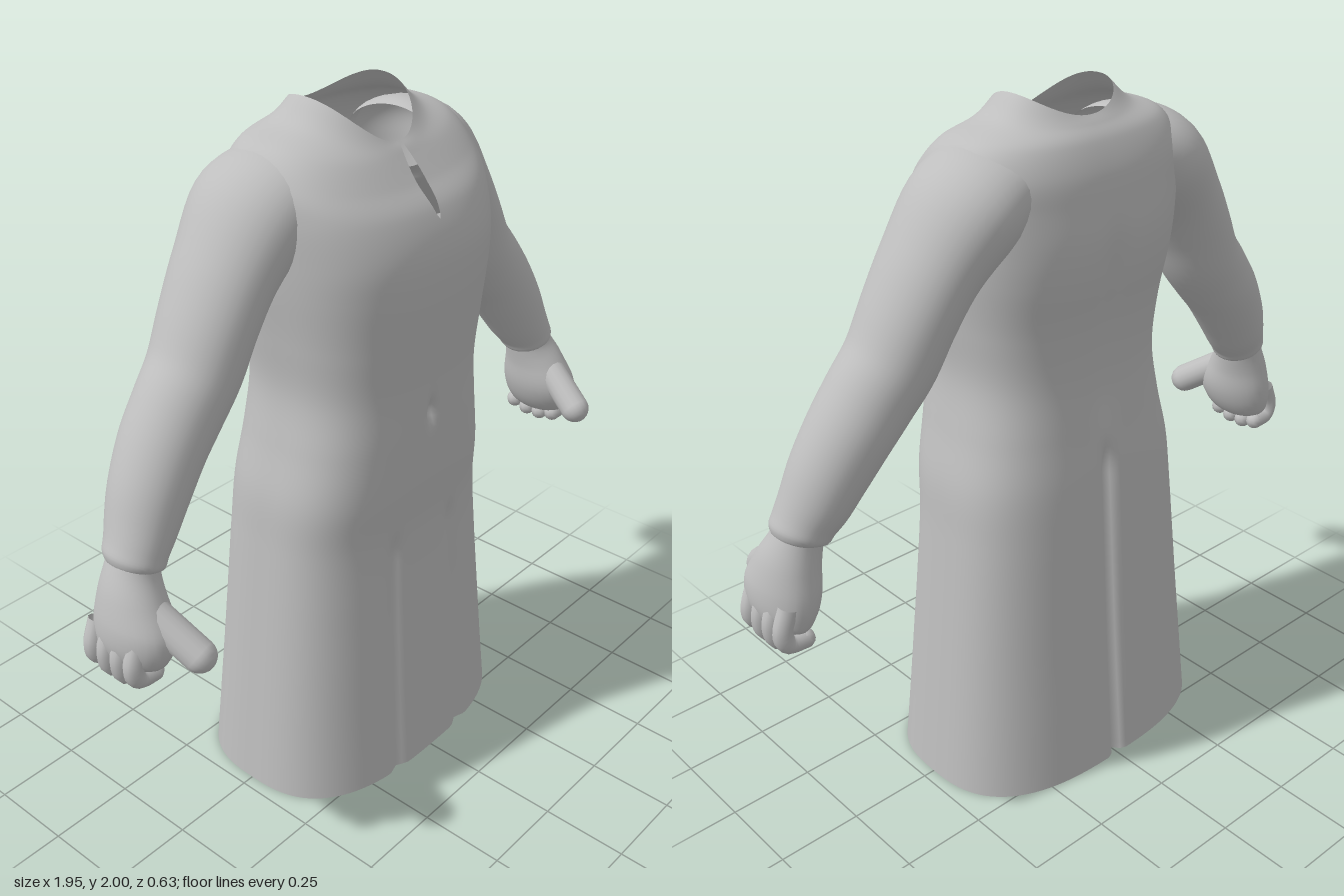
import * as THREE from 'three';
import { mergeVertices } from 'three/addons/utils/BufferGeometryUtils.js';

const bump = (d, s) => Math.exp(-(d * d) / (s * s));
const step = THREE.MathUtils.smoothstep;

// Smooth surface from a grid of points
function surface(rows, cols, point) {
  const pos = [], index = [];
  for (let i = 0; i <= rows; i++)
    for (let j = 0; j <= cols; j++) pos.push(...point(i / rows, j / cols));
  const n = cols + 1;
  for (let i = 0; i < rows; i++)
    for (let j = 0; j < cols; j++) {
      const a = i * n + j;
      index.push(a, a + 1, a + n, a + 1, a + n + 1, a + n);
    }
  let g = new THREE.BufferGeometry();
  g.setAttribute('position', new THREE.Float32BufferAttribute(pos, 3));
  g.setIndex(index);
  g = mergeVertices(g, 1e-4);
  g.computeVertexNormals();
  return g;
}

const curve = pts => new THREE.CatmullRomCurve3(pts.map(p => new THREE.Vector3(...p)), false, 'catmullrom', 0.5);

// Tube of elliptical sections [x, y, z, radius across, radius in z]
function limb(sections, side, rows, cols) {
  const path = curve(sections.map(s => s.slice(0, 3)));
  const size = curve(sections.map(s => [s[3], s[4], 0]));
  return surface(rows, cols, (v, u) => {
    const p = path.getPoint(v), r = size.getPoint(v), d = path.getTangent(v);
    const len = Math.hypot(d.x, d.y) || 1, t = side * u * Math.PI * 2;
    const k = -Math.sin(t) * r.x / len;
    return [side * (p.x - d.y * k), p.y + d.x * k, p.z + Math.cos(t) * r.y];
  });
}

// Robe body rings: half width, front z, back z, then y at front, side and back
const RINGS = [
  [0.465, 0.315, -0.315, 0, 0, 0],
  [0.445, 0.30, -0.30, 0.2, 0.2, 0.2],
  [0.425, 0.287, -0.285, 0.4, 0.4, 0.4],
  [0.405, 0.275, -0.272, 0.6, 0.6, 0.6],
  [0.385, 0.268, -0.26, 0.8, 0.8, 0.8],
  [0.37, 0.28, -0.25, 0.95, 0.95, 0.95],
  [0.335, 0.288, -0.235, 1.1, 1.1, 1.1],
  [0.31, 0.293, -0.226, 1.25, 1.25, 1.25],
  [0.322, 0.305, -0.235, 1.4, 1.4, 1.4],
  [0.342, 0.316, -0.26, 1.55, 1.55, 1.55],
  [0.352, 0.31, -0.266, 1.65, 1.65, 1.65],
  [0.36, 0.275, -0.255, 1.74, 1.76, 1.74],
  [0.355, 0.225, -0.24, 1.8, 1.84, 1.82],
  [0.31, 0.185, -0.21, 1.85, 1.905, 1.89],
  [0.21, 0.165, -0.18, 1.875, 1.945, 1.925],
  [0.15, 0.15, -0.16, 1.89, 2.0, 1.945],
];

function bodyGeometry() {
  const shape = curve(RINGS.map(r => r.slice(0, 3)));
  const height = curve(RINGS.map(r => r.slice(3)));
  return surface(130, 160, (v, u) => {
    const s = shape.getPoint(v), h = height.getPoint(v);
    const t = u * Math.PI * 2, front = Math.cos(t) >= 0;
    // rings are squarish below and rounder at the neck
    const k = 2.75 - 0.6 * step(v, 0.75, 1);
    const depth = Math.pow(Math.max(0, 1 - Math.pow(Math.abs(Math.sin(t)), k)), 1 / k);
    const mid = (s.y + s.z) / 2 - 0.03 * step(v, 0.65, 0.95);
    const c2 = Math.cos(t) ** 2;
    const y = h.y + ((front ? h.x : h.z) - h.y) * c2;
    let x = s.x * Math.sin(t);
    let z = mid + (front ? s.y - mid : s.z - mid) * depth;
    if (front) {
      // two skirt pleats, the navel and the neck slit
      const low = 1 - step(y, 0.74, 0.84);
      z -= 0.016 * low * bump(Math.abs(x) - (0.145 - 0.03 * y), 0.022);
      z -= 0.025 * bump(x + 0.01, 0.014) * bump(y - 1.17, 0.035);
      if (y > 1.72) {
        const gap = 0.004 + 0.014 * Math.sin(Math.PI * Math.min(1, (y - 1.72) / 0.17));
        x += (u < 0.5 ? 1 : -1) * gap * Math.exp(-Math.abs(x) / 0.04);
      }
    } else {
      // back seam of the skirt and the hollow of the spine
      z += 0.03 * (1 - step(y, 0.95, 1.08)) * bump(x, 0.016);
      z += 0.012 * step(y, 1.05, 1.2) * (1 - step(y, 1.55, 1.75)) * bump(x, 0.045);
    }
    return [x, y, z];
  });
}

// Shoulder to wrist, with a slight cuff ridge at the end
const SLEEVE = [
  [0.18, 1.82, -0.03, 0.08, 0.15],
  [0.24, 1.80, -0.04, 0.115, 0.17],
  [0.33, 1.745, -0.05, 0.135, 0.175],
  [0.43, 1.63, -0.045, 0.12, 0.152],
  [0.50, 1.52, -0.04, 0.115, 0.14],
  [0.56, 1.41, -0.035, 0.115, 0.13],
  [0.625, 1.33, -0.03, 0.116, 0.122],
  [0.69, 1.25, -0.025, 0.11, 0.118],
  [0.75, 1.16, -0.015, 0.102, 0.11],
  [0.795, 1.08, -0.005, 0.09, 0.1],
  [0.825, 1.03, 0.005, 0.08, 0.09],
  [0.84, 1.0, 0.01, 0.076, 0.084],
  [0.845, 0.985, 0.012, 0.05, 0.06],
];

const PALM = [
  [0.835, 1.02, 0.01, 0.06, 0.07],
  [0.85, 0.98, 0.015, 0.068, 0.076],
  [0.868, 0.92, 0.03, 0.078, 0.1],
  [0.88, 0.85, 0.045, 0.085, 0.125],
  [0.893, 0.79, 0.045, 0.075, 0.12],
  [0.905, 0.75, 0.04, 0.05, 0.09],
  [0.91, 0.735, 0.04, 0.001, 0.001],
];

export function createModel() {
  const model = new THREE.Group();
  model.name = 'robedFigure';
  const grey = new THREE.MeshStandardMaterial({ color: 0xbebebe, side: THREE.DoubleSide });
  grey.name = 'grey';
  const add = (parent, name, geometry) => {
    const mesh = new THREE.Mesh(geometry, grey);
    mesh.name = name;
    parent.add(mesh);
    return mesh;
  };

  add(model, 'robeBody', bodyGeometry());

  for (const side of [1, -1]) {
    const arm = new THREE.Group();
    arm.name = side > 0 ? 'leftArm' : 'rightArm';
    model.add(arm);
    add(arm, 'sleeve', limb(SLEEVE, side, 60, 36));
    add(arm, 'palm', limb(PALM, side, 30, 28));

    // thumb pointing forward
    const root = new THREE.Vector3(side * 0.865, 0.89, 0.1);
    const tip = new THREE.Vector3(side * 0.832, 0.805, 0.222);
    const thumb = add(arm, 'thumb', new THREE.CapsuleGeometry(0.045, root.distanceTo(tip), 6, 16));
    thumb.position.copy(root).add(tip).multiplyScalar(0.5);
    thumb.quaternion.setFromUnitVectors(new THREE.Vector3(0, 1, 0), tip.sub(root).normalize());

    // curled fingers
    for (let f = 0; f < 4; f++) {
      const z = -0.045 + f * 0.05, drop = f === 0 || f === 3 ? 0.012 : 0;
      const bend = curve([[0.925, 0.84, z], [0.948, 0.775, z], [0.935, 0.722 + drop, z], [0.885, 0.715 + drop, z]]
        .map(([x, y, w]) => [side * x, y, w]));
      add(arm, 'finger', new THREE.TubeGeometry(bend, 14, 0.027, 10));
      const end = add(arm, 'fingertip', new THREE.SphereGeometry(0.027, 10, 8));
      end.position.copy(bend.getPoint(1));
    }
  }
  return model;
}
